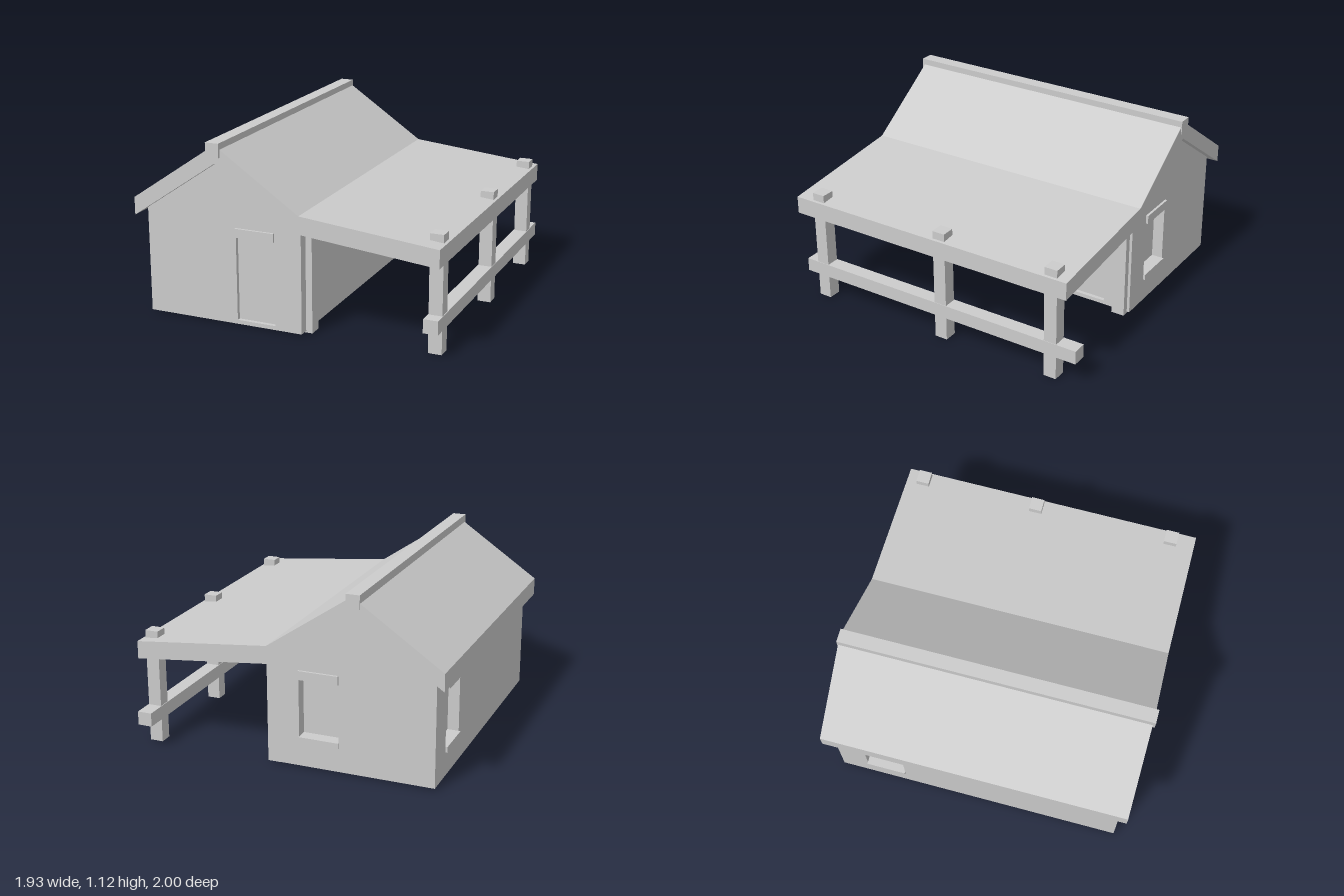
import * as THREE from 'three';

const mat = new THREE.MeshStandardMaterial({ color: 0xcccccc, flatShading: true });

export function createModel() {
  const group = new THREE.Group();

  const add = (name, geometry) => {
    const mesh = new THREE.Mesh(geometry, mat);
    mesh.name = name;
    group.add(mesh);
    return mesh;
  };

  // Box given by its limits on each axis
  const box = (name, [x0, x1], [y0, y1], [z0, z1]) => {
    const mesh = add(name, new THREE.BoxGeometry(x1 - x0, y1 - y0, z1 - z0));
    mesh.position.set((x0 + x1) / 2, (y0 + y1) / 2, (z0 + z1) / 2);
    return mesh;
  };

  // Flat outline extruded by depth, with an optional rectangular opening
  const slab = (name, outline, depth, opening) => {
    const shape = new THREE.Shape(outline.map(([x, y]) => new THREE.Vector2(x, y)));
    if (opening) {
      const [a, b, c, d] = opening;
      shape.holes.push(new THREE.Path([[a, c], [a, d], [b, d], [b, c]].map(([x, y]) => new THREE.Vector2(x, y))));
    }
    return add(name, new THREE.ExtrudeGeometry(shape, { depth, bevelEnabled: false }));
  };

  const base = 0.01, front = 0.93, back = -0.89, left = -0.91, right = 0.1;
  const doorY = [0.035, 0.61], windowY = [0.16, 0.61], lintelY = [0.555, 0.61], sillY = [0.16, 0.195];
  const openX = [-0.32, -0.07], openZ = [-0.71, -0.46];

  // Roof: steep gable running on into the shallow porch roof
  slab('roof', [
    [-0.97, 0.625], [-0.42, 1.0], [0.11, 0.64], [0.96, 0.555],
    [0.96, 0.665], [0.11, 0.75], [-0.42, 1.11], [-0.97, 0.735],
  ], 1.92).position.z = -0.94;
  box('ridgeBeam', [-0.47, -0.385], [1.04, 1.125], [-0.945, 0.995]);

  // Gable walls, their tops buried in the roof
  const gable = [[left, base], [0.05, base], [0.05, 0.71], [-0.42, 1.03], [left, 0.7]];
  slab('frontWall', gable, 0.08, [...openX, ...doorY]).position.z = front - 0.08;
  slab('backWall', gable, 0.08, [...openX, ...windowY]).position.z = back;

  // Side walls, drawn along -z and turned to face x
  const sideWall = (name, z0, z1, top, depth, x, openY) => {
    const outline = [[-z1, base], [-z0, base], [-z0, top], [-z1, top]];
    const wall = slab(name, outline, depth, [-openZ[1], -openZ[0], ...openY]);
    wall.rotation.y = Math.PI / 2;
    wall.position.x = x;
  };
  sideWall('windowSideWall', back + 0.08, front - 0.08, 0.7, 0.08, left, windowY);
  sideWall('porchSideWall', back, front, 0.68, 0.05, 0.05, doorY);
  box('floor', [left + 0.02, 0.06], [base, 0.03], [back + 0.02, front - 0.02]);

  // Doors and window panes set back in their openings
  box('frontDoor', openX, doorY, [front - 0.06, front - 0.025]);
  box('porchDoor', [right - 0.045, right - 0.025], doorY, openZ);
  box('backWindowPane', openX, windowY, [back + 0.07, back + 0.08]);
  box('sideWindowPane', [left + 0.07, left + 0.08], windowY, openZ);

  // Lintels and sills, standing slightly proud of the walls
  box('frontDoorLintel', openX, lintelY, [front - 0.05, front + 0.015]);
  box('porchDoorLintel', [right - 0.04, right + 0.015], lintelY, openZ);
  box('backWindowLintel', openX, lintelY, [back - 0.015, back + 0.075]);
  box('backWindowSill', openX, sillY, [back - 0.012, back + 0.075]);
  box('sideWindowLintel', [left - 0.017, left + 0.075], lintelY, openZ);
  box('sideWindowSill', [left - 0.012, left + 0.075], sillY, openZ);

  // Porch posts poking through the roof, and posts against the wall
  for (const z of [0.825, -0.07, -0.83]) {
    box('porchPost', [0.86, 0.943], [0, 0.715], [z - 0.041, z + 0.041]);
  }
  for (const z of [0.825, -0.83]) {
    box('wallPost', [0.055, 0.14], [0, 0.68], [z - 0.043, z + 0.043]);
  }
  box('porchRail', [0.856, 0.946], [0.15, 0.235], [-1.0, 0.945]);

  return group;
}
